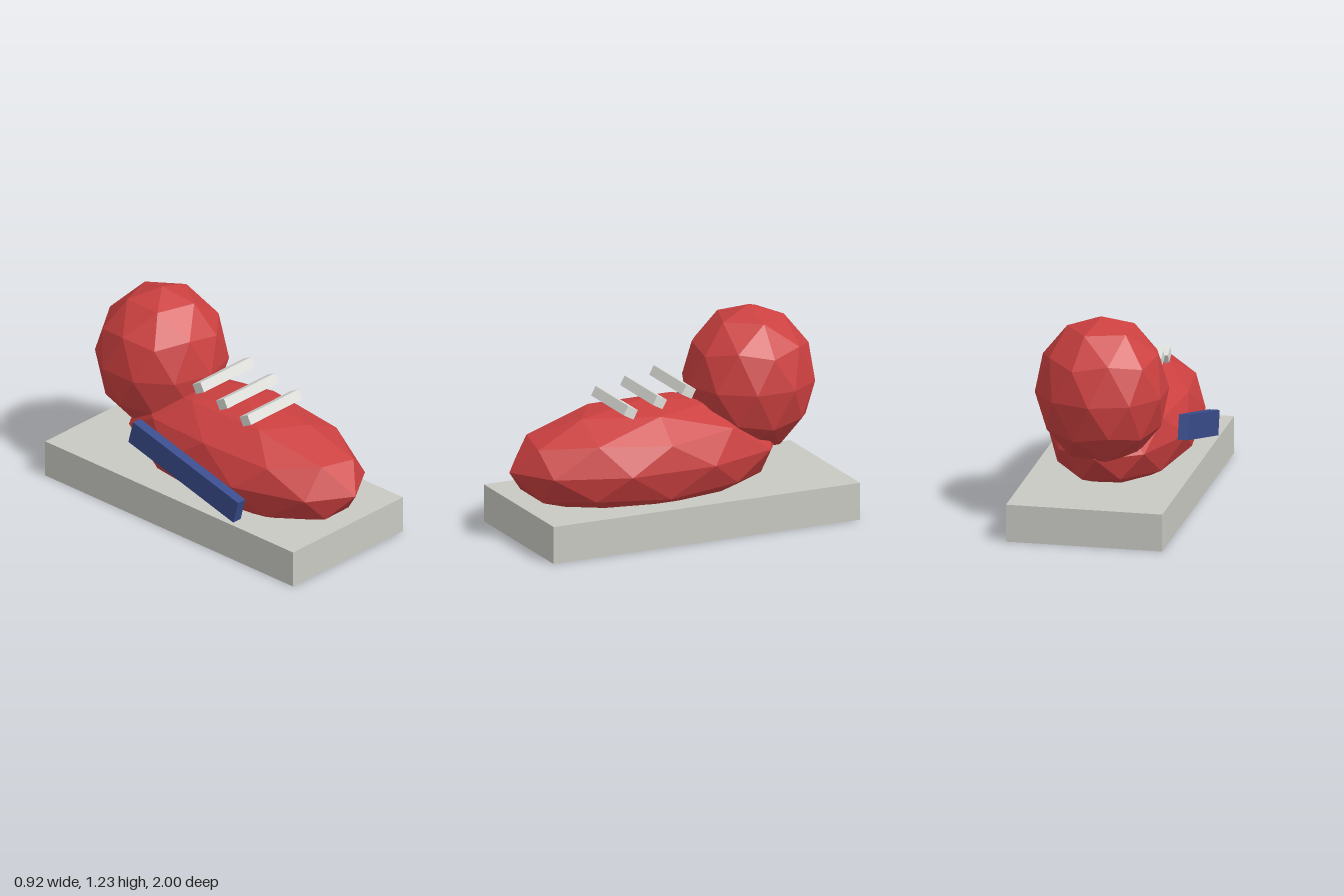
import * as THREE from 'three';

const mat = (name, color, flatShading = false) =>
  Object.assign(new THREE.MeshStandardMaterial({ color, flatShading }), { name });

// Faceted ball with a corner pointing straight up, stretched to the given radii
function facetedBall(rx, ry, rz) {
  const geo = new THREE.IcosahedronGeometry(1, 1);
  geo.rotateZ(-Math.atan2(1, (1 + Math.sqrt(5)) / 2));
  geo.scale(rx, ry, rz);
  geo.computeVertexNormals();
  return geo;
}

export function createModel() {
  const group = new THREE.Group();
  group.name = 'shoe';

  const red = mat('red upper', 0xcc4040, true);
  const grey = mat('grey sole', 0xc9c9c3);
  const white = mat('white laces', 0xdededa);
  const blue = mat('blue stripe', 0x3a4d8c);

  const add = (name, geo, material, x, y, z, tilt = 0) => {
    const mesh = new THREE.Mesh(geo, material);
    mesh.name = name;
    mesh.position.set(x, y, z);
    mesh.rotation.x = tilt;
    group.add(mesh);
  };

  // Sole slab
  add('sole', new THREE.BoxGeometry(0.91, 0.22, 1.94), grey, 0.003, 0.11, -0.03);

  // Long foot body and rounded heel
  add('body', facetedBall(0.425, 0.33, 0.85), red, 0.003, 0.425, 0.15);
  add('heel', facetedBall(0.385, 0.435, 0.385), red, 0.003, 0.79, -0.515);

  // Three tilted lace bars, rising towards the heel
  for (let i = 0; i < 3; i++) {
    add('lace' + (i + 1), new THREE.BoxGeometry(0.425, 0.06, 0.07), white,
      0.005, 0.752 + i * 0.037, 0.335 - i * 0.184, -0.5);
  }

  // Slanted stripe on the right side
  add('sideStripe', new THREE.BoxGeometry(0.06, 0.145, 0.85), blue, -0.43, 0.425, 0.0875, 0.26);

  return group;
}
